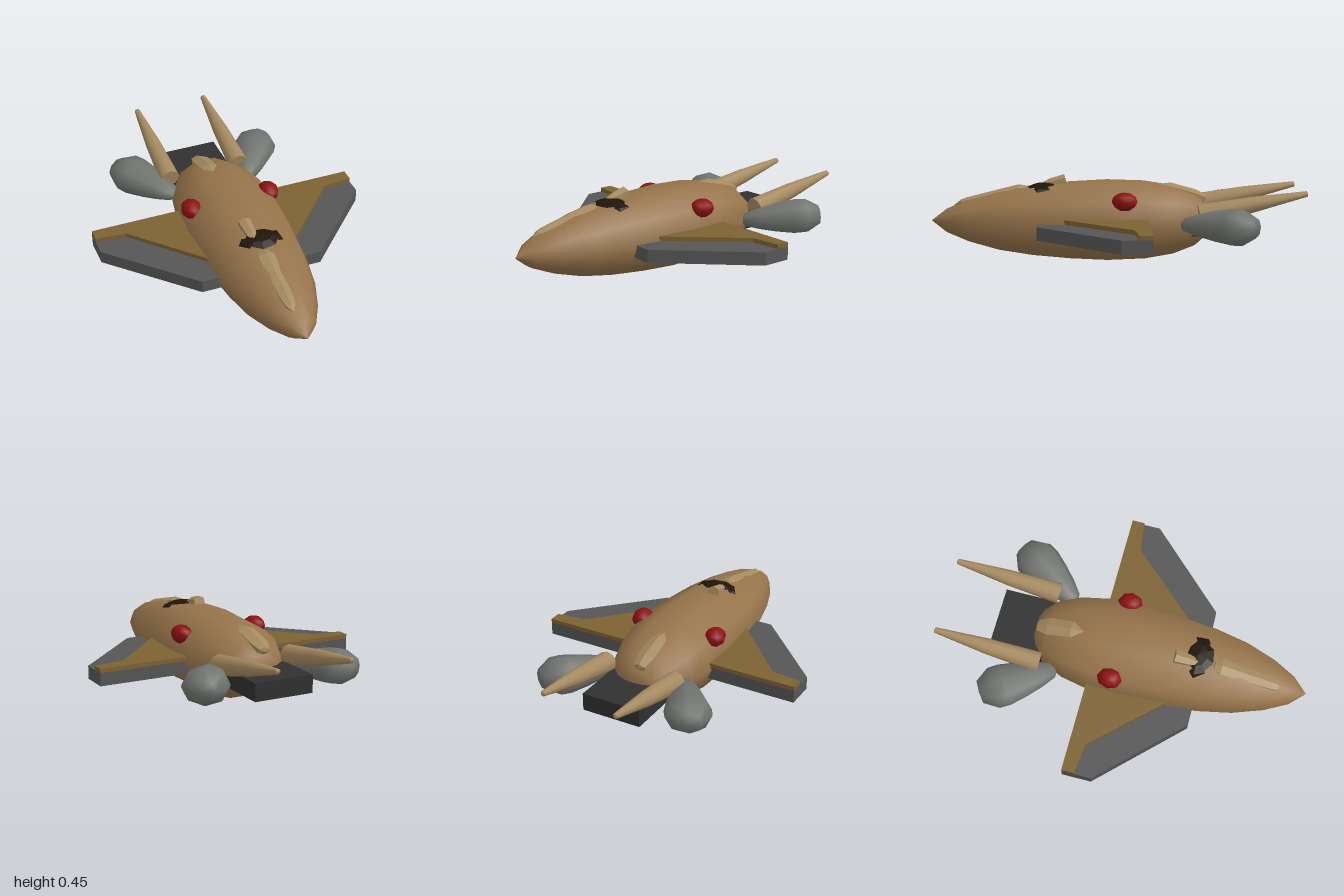
import * as THREE from 'three';

const mat = (color, flatShading = false) => new THREE.MeshStandardMaterial({ color, flatShading });
const HULL = mat(0x96744b), TRIM = mat(0xa58a60), TRIM_FLAT = mat(0xa58a60, true), WING_TOP = mat(0x7d6233),
  WING = mat(0x565656), ENGINE = mat(0x70746f), DARK = mat(0x303030), RED = mat(0x8c1010), GLASS = mat(0x1e150a, true);

export function createModel() {
  const model = new THREE.Group();

  const add = (name, geometry, material, x = 0, y = 0, z = 0) => {
    const mesh = new THREE.Mesh(geometry, material);
    mesh.name = name;
    mesh.position.set(x, y, z);
    model.add(mesh);
    return mesh;
  };

  // Turned body along a line; profile holds [radius, distance], flat squashes its height
  const pod = (name, profile, from, to, sides, flat, material, turn = 0) => {
    const points = profile.map(([r, t]) => new THREE.Vector2(r, t));
    const geometry = new THREE.LatheGeometry(points, sides, turn);
    geometry.rotateX(Math.PI / 2).scale(1, flat, 1);
    add(name, geometry, material, ...from).lookAt(...to);
  };

  // Horizontal plate from [x, z] corners
  const plate = (name, corners, y, height, material) => {
    const shape = new THREE.Shape(corners.map(([x, z]) => new THREE.Vector2(x, -z)));
    const geometry = new THREE.ExtrudeGeometry(shape, { depth: height, bevelEnabled: false });
    add(name, geometry.rotateX(-Math.PI / 2), material, 0, y, 0);
  };

  // Ten-sided hull from tail to nose
  pod('fuselage', [[0, -0.51], [0.07, -0.5], [0.115, -0.48], [0.18, -0.42], [0.237, -0.3], [0.268, -0.15],
    [0.277, 0.05], [0.264, 0.25], [0.24, 0.45], [0.203, 0.63], [0.145, 0.79], [0.08, 0.91], [0, 0.99]],
  [0, 0.21, 0], [0, 0.21, 1], 10, 0.785, HULL, Math.PI / 10);

  // Stern block between the engines
  add('sternBlock', new THREE.BoxGeometry(0.33, 0.095, 0.36), DARK, 0, 0.188, -0.54);

  for (const s of [1, -1]) {
    const side = s > 0 ? 'left' : 'right';
    const mirror = (corners) => corners.map(([x, z]) => [x * s, z]);

    // Wing with a raised upper panel
    plate(side + 'Wing', mirror([[0.05, 0.42], [0.33, 0.42], [0.74, 0], [0.74, -0.157], [0.05, -0.157]]),
      0.153, 0.069, WING);
    plate(side + 'WingPanel', mirror([[0.05, 0.28], [0.25, 0.28], [0.575, -0.07], [0.74, -0.088],
      [0.74, -0.157], [0.05, -0.157]]), 0.222, 0.023, WING_TOP);

    // Splayed engine pod
    pod(side + 'Engine', [[0, 0], [0.045, 0.03], [0.075, 0.11], [0.1, 0.2], [0.12, 0.3], [0.118, 0.36],
      [0.065, 0.435], [0, 0.44]], [0.195 * s, 0.21, -0.33], [0.44 * s, 0.228, -0.7], 8, 0.8, ENGINE);

    // Tail spike
    pod(side + 'TailSpike', [[0, 0], [0.056, 0], [0.056, 0], [0.042, 0.29], [0.015, 0.575], [0, 0.58]],
      [0.205 * s, 0.262, -0.43], [0.205 * s, 0.372, -1], 10, 1, TRIM);

    // Shoulder lamp
    add(side + 'Lamp', new THREE.SphereGeometry(1, 8, 6).scale(0.057, 0.05, 0.068), RED, 0.22 * s, 0.335, -0.035);
  }

  // Cockpit canopy
  add('canopy', new THREE.SphereGeometry(1, 9, 6).scale(0.124, 0.046, 0.098), GLASS, 0, 0.364, 0.39);

  // Crests along the spine
  pod('frontCrest', [[0, 0], [0.03, 0.015], [0.05, 0.05], [0.038, 0.33], [0.03, 0.37], [0, 0.41]],
    [-0.025, 0.378, 0.47], [-0.025, 0.29, 0.87], 6, 0.65, TRIM_FLAT);
  pod('rearCrest', [[0, 0], [0.052, 0.08], [0.056, 0.22], [0.035, 0.28], [0, 0.29]],
    [-0.025, 0.397, -0.21], [-0.025, 0.315, -0.49], 6, 0.6, TRIM_FLAT);
  pod('canopyFin', [[0, 0], [0.037, 0], [0.033, 0.08], [0.012, 0.145], [0, 0.15]],
    [-0.045, 0.42, 0.272], [-0.037, 0.385, 0.42], 6, 0.85, TRIM_FLAT);

  return model;
}
